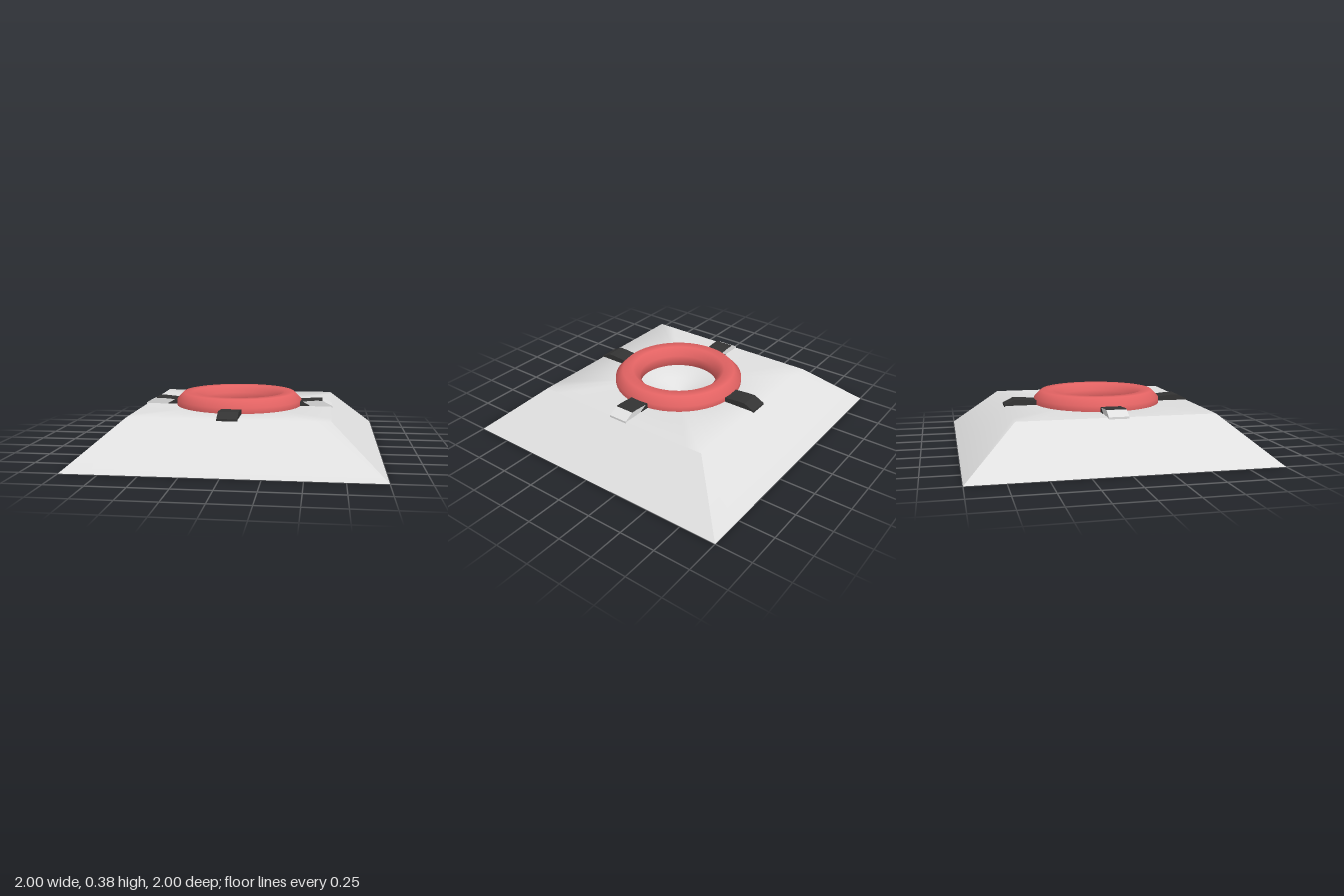
import * as THREE from 'three';

const N = 64; // samples around each loop; multiples of 8 land on the square corners
const TOP = 0.295, HALF = 0.66, STRAP = 0.135;

function square(half, y) {
  return (a) => {
    const c = Math.cos(a), s = Math.sin(a), k = half / Math.max(Math.abs(c), Math.abs(s));
    return [c * k, y, s * k];
  };
}

function circle(r, y) {
  return (a) => [Math.cos(a) * r, y, Math.sin(a) * r];
}

// Skin loops from the inside out; keep(row, j) picks which quads to make
function loft(rows, keep) {
  const pos = [], index = [];
  rows.forEach((row) => {
    for (let j = 0; j < N; j++) pos.push(...row((j / N) * Math.PI * 2));
  });
  for (let i = 0; i < rows.length - 1; i++) {
    for (let j = 0; j < N; j++) {
      if (!keep(i, j)) continue;
      const a = i * N + j, b = i * N + (j + 1) % N, c = a + N, d = b + N;
      index.push(a, b, c, b, d, c);
    }
  }
  const g = new THREE.BufferGeometry();
  g.setAttribute('position', new THREE.Float32BufferAttribute(pos, 3));
  g.setIndex(index);
  g.computeVertexNormals();
  return g;
}

// Extrude a (distance, height) profile across the strap width, pointing along +x
function strapPiece(points, width) {
  const shape = new THREE.Shape(points.map(([d, y]) => new THREE.Vector2(d, y)));
  const g = new THREE.ExtrudeGeometry(shape, { depth: width, bevelEnabled: false });
  return g.translate(0, 0, -width / 2);
}

export function createModel() {
  const model = new THREE.Group();
  model.name = 'ringOnPlinth';
  const grey = new THREE.MeshStandardMaterial({ color: 0xe0e0e0 });
  grey.name = 'light grey';
  const red = new THREE.MeshStandardMaterial({ color: 0xe36363 });
  red.name = 'red';
  const black = new THREE.MeshStandardMaterial({ color: 0x333333 });
  black.name = 'black';

  const add = (parent, name, geometry, material) => {
    const mesh = new THREE.Mesh(geometry, material);
    mesh.name = name;
    parent.add(mesh);
    return mesh;
  };

  // Plinth: the top with its shallow pit blends smoothly into front and back slopes
  const isSide = (j) => j < N / 8 || j >= (N * 7) / 8 || (j >= (N * 3) / 8 && j < (N * 5) / 8);
  const topRows = [
    circle(0.001, 0.14), circle(0.18, 0.2), circle(0.36, TOP),
    square(HALF, TOP), square(1, 0),
  ];
  add(model, 'plinthTop', loft(topRows, (i, j) => i < 3 || !isSide(j)), grey);
  add(model, 'plinthSides', loft([square(HALF, TOP), square(1, 0)], (i, j) => isSide(j)), grey);
  add(model, 'plinthBottom', new THREE.PlaneGeometry(2, 2).rotateX(Math.PI / 2), grey);

  // Ring with an eight-sided section
  const section = [];
  for (let i = 0; i <= 8; i++) {
    const a = -Math.PI / 2 + Math.PI / 8 + (i * Math.PI) / 4;
    section.push(new THREE.Vector2(0.362 + Math.cos(a) * 0.095, 0.297 + Math.sin(a) * 0.095));
  }
  add(model, 'ring', new THREE.LatheGeometry(section, 48), red);

  // Four straps around the ring
  const profile = [[0.38, 0.27], [0.67, 0.27], [0.67, 0.3], [0.6, 0.335], [0.55, 0.335], [0.46, 0.327], [0.38, 0.327]];
  const cover = [[0.38, 0.327], [0.46, 0.327], [0.55, 0.335], [0.6, 0.335], [0.6, 0.338], [0.55, 0.338], [0.46, 0.33], [0.38, 0.33]];
  const wedge = [[0.38, 0.28], [0.51, 0.28], [0.51, 0.3], [0.46, 0.327], [0.38, 0.327]];
  ['left', 'back', 'right', 'front'].forEach((side, i) => {
    const strap = new THREE.Group();
    strap.name = side + 'Strap';
    strap.rotation.y = (i * Math.PI) / 2;
    const across = i % 2 === 0;
    add(strap, 'strapBody', strapPiece(profile, STRAP), across ? grey : black);
    if (across) {
      add(strap, 'strapCover', strapPiece(cover, STRAP), black);
      add(strap, 'strapRoot', strapPiece(wedge, STRAP + 0.006), black);
    }
    model.add(strap);
  });

  return model;
}
